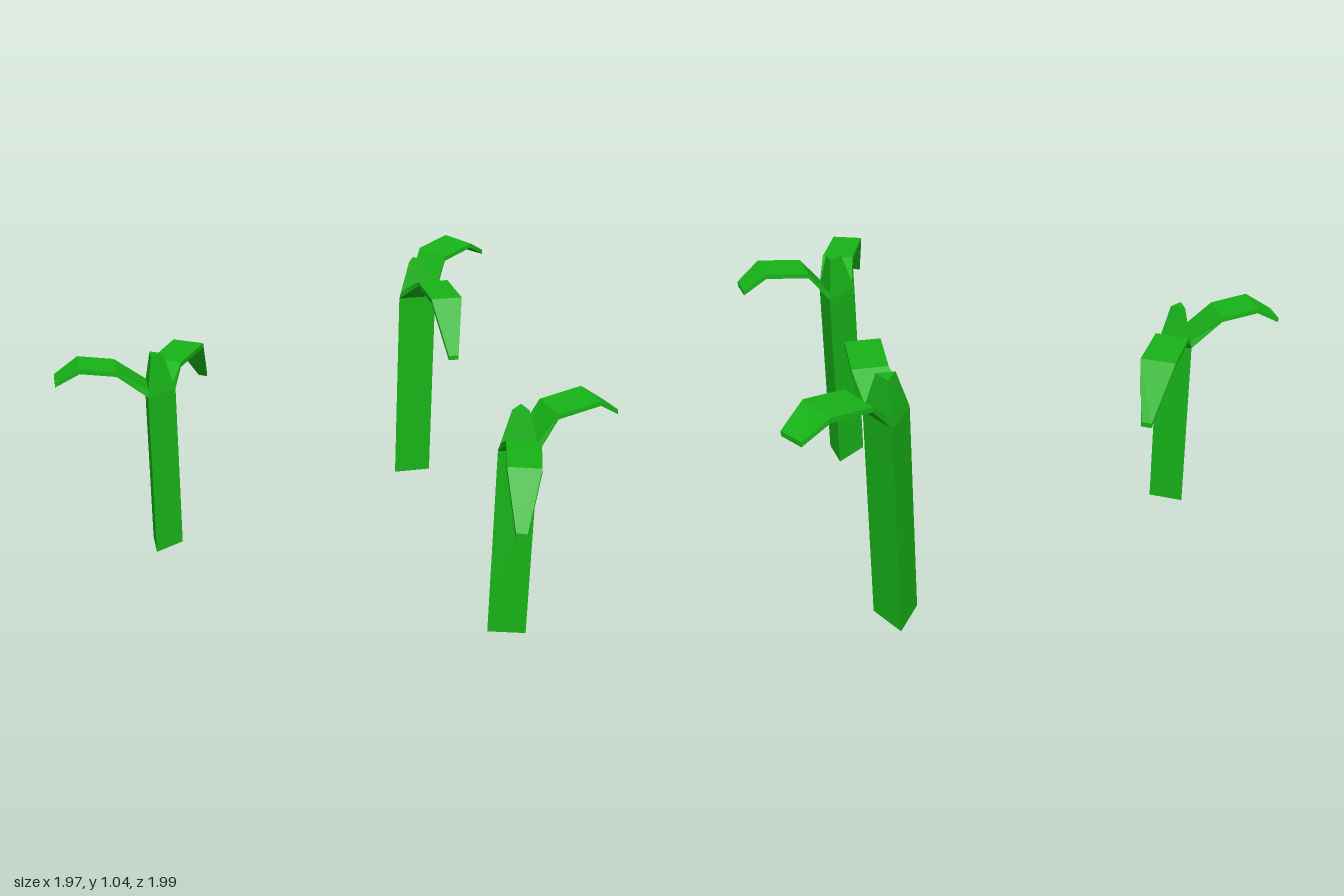
import * as THREE from 'three';

const green = new THREE.MeshStandardMaterial({ color: 0x18b418, flatShading: true });

// Closed solid through equal-length rings of [x, y, z] points, always facing outwards
function loft(name, rings) {
  const tris = [], n = rings[0].length;
  for (let i = 0; i + 1 < rings.length; i++) {
    const r = rings[i], s = rings[i + 1];
    for (let j = 0; j < n; j++) {
      const k = (j + 1) % n;
      tris.push([r[j], r[k], s[k]], [r[j], s[k], s[j]]);
    }
  }
  const first = rings[0], last = rings[rings.length - 1];
  for (let j = 1; j + 1 < n; j++) {
    tris.push([first[0], first[j + 1], first[j]], [last[0], last[j], last[j + 1]]);
  }
  // A negative volume means the faces point inwards
  const o = new THREE.Vector3(...first[0]);
  let volume = 0;
  for (const t of tris) {
    const [a, b, c] = t.map((p) => new THREE.Vector3(...p).sub(o));
    volume += a.dot(b.cross(c));
  }
  if (volume < 0) tris.forEach((t) => t.reverse());
  const geometry = new THREE.BufferGeometry();
  geometry.setAttribute('position', new THREE.Float32BufferAttribute(tris.flat(2), 3));
  geometry.computeVertexNormals();
  const mesh = new THREE.Mesh(geometry, green);
  mesh.name = name;
  return mesh;
}

const THICK = 0.018, TAPER = 0.58, BUD = 0.15;

// Each plant: triangle corners [x, z], stem bottom and top, and two leaves.
// A leaf starts on the edge between two corners; each row is one crease: ax, az, bx, bz, y.
const plants = [
  {
    name: 'frontPlant', corners: [[0.52, 0.562], [0.657, 0.602], [0.63, 0.464]], bottom: 0, top: 0.755,
    leaves: [
      { name: 'droopingLeaf', edge: [0, 1], rows: [
        [0.512, 0.663, 0.629, 0.70, 0.843], [0.454, 0.854, 0.565, 0.891, 0.843], [0.454, 0.981, 0.49, 0.995, 0.66]] },
      { name: 'archedLeaf', edge: [2, 1], rows: [
        [0.708, 0.44, 0.729, 0.584, 0.885], [0.872, 0.414, 0.895, 0.557, 0.91], [0.963, 0.414, 0.982, 0.509, 0.848]] },
    ],
  },
  {
    name: 'middlePlant', corners: [[-0.643, -0.249], [-0.643, -0.12], [-0.532, -0.184]], bottom: 0.092, top: 0.765,
    leaves: [
      { name: 'droopingLeaf', edge: [0, 2], rows: [
        [-0.607, -0.313, -0.501, -0.249, 0.843], [-0.501, -0.493, -0.39, -0.43, 0.843], [-0.395, -0.582, -0.363, -0.562, 0.66]] },
      { name: 'archedLeaf', edge: [0, 1], rows: [
        [-0.756, -0.249, -0.756, -0.115, 0.88], [-0.892, -0.249, -0.892, -0.115, 0.903], [-0.985, -0.228, -0.985, -0.141, 0.846]] },
    ],
  },
  {
    name: 'backPlant', corners: [[0.473, -0.667], [0.629, -0.667], [0.55, -0.803]], bottom: 0.062, top: 0.88,
    leaves: [
      { name: 'droopingLeaf', edge: [0, 1], rows: [
        [0.525, -0.567, 0.65, -0.567, 0.984], [0.525, -0.36, 0.65, -0.36, 0.984], [0.57, -0.238, 0.61, -0.238, 0.785]] },
      { name: 'archedLeaf', edge: [2, 1], rows: [
        [0.618, -0.893, 0.692, -0.757, 1.018], [0.756, -0.973, 0.829, -0.838, 1.042], [0.852, -0.998, 0.908, -0.916, 0.982]] },
    ],
  },
];

function makePlant({ name, corners, bottom, top, leaves }) {
  const plant = new THREE.Group();
  plant.name = name;
  const cx = corners.reduce((s, c) => s + c[0], 0) / 3;
  const cz = corners.reduce((s, c) => s + c[1], 0) / 3;
  // Corner i of the bud, at fraction t of its height
  const budPoint = (i, t) => [
    corners[i][0] + (cx - corners[i][0]) * TAPER * t,
    top + BUD * t,
    corners[i][1] + (cz - corners[i][1]) * TAPER * t,
  ];
  const ring = (y) => corners.map(([x, z]) => [x, y, z]);

  // Three-sided stem and the tapered bud on it
  plant.add(loft('stem', [ring(bottom), ring(top)]));
  plant.add(loft('bud', [ring(top), [0, 1, 2].map((i) => budPoint(i, 1))]));

  // Folded leaves growing from the foot of the bud
  for (const leaf of leaves) {
    const [a, b] = leaf.edge;
    const root = [budPoint(a, 0), budPoint(b, 0), budPoint(b, 0.18), budPoint(a, 0.18)];
    const creases = leaf.rows.map(([ax, az, bx, bz, y]) => [
      [ax, y - THICK, az], [bx, y - THICK, bz], [bx, y, bz], [ax, y, az],
    ]);
    plant.add(loft(leaf.name, [root, ...creases]));
  }
  return plant;
}

export function createModel() {
  const group = new THREE.Group();
  group.name = 'sprouts';
  plants.forEach((p) => group.add(makePlant(p)));
  return group;
}
